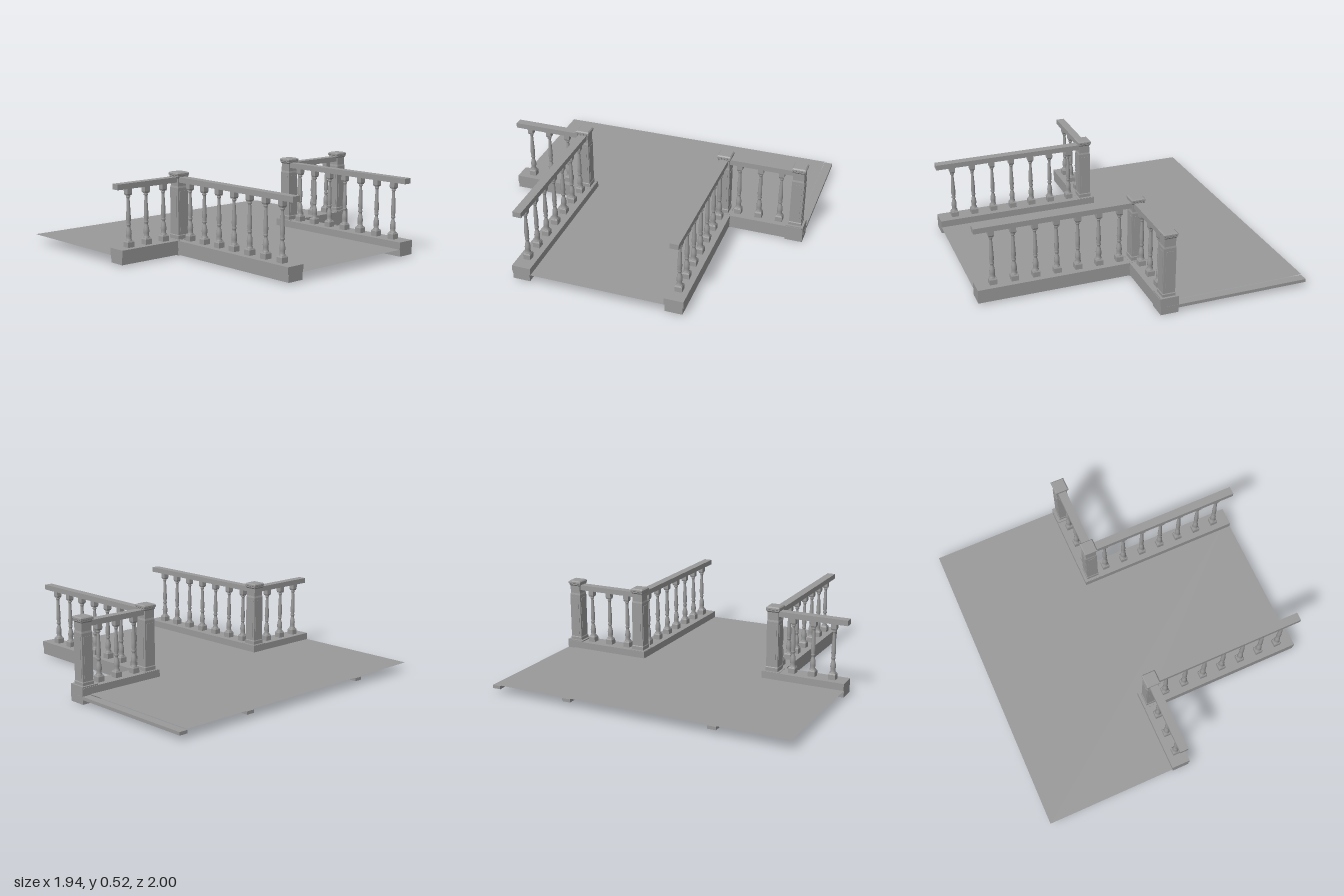
import * as THREE from 'three';

const stone = new THREE.MeshStandardMaterial({ color: 0x9a9a9a });
const flat = new THREE.MeshStandardMaterial({ color: 0x9a9a9a, flatShading: true });

function add(parent, name, geometry, material = stone) {
  const mesh = new THREE.Mesh(geometry, material);
  mesh.name = name;
  parent.add(mesh);
  return mesh;
}

// box given by its limits on each axis
function block(parent, name, [x0, x1], [y0, y1], [z0, z1]) {
  const mesh = add(parent, name, new THREE.BoxGeometry(x1 - x0, y1 - y0, z1 - z0));
  mesh.position.set((x0 + x1) / 2, (y0 + y1) / 2, (z0 + z1) / 2);
}

// square turned solid: profile of [half width, height]
function squareLathe(profile) {
  const pts = profile.map(([w, y]) => new THREE.Vector2(w * Math.SQRT2, y));
  return new THREE.LatheGeometry(pts, 4).rotateY(Math.PI / 4);
}

// bell foot, narrow neck, ring, then a long shaft tapering to the head
const BALUSTER = [
  [0.020, 0.14], [0.020, 0.146], [0.015, 0.152], [0.017, 0.17], [0.018, 0.185], [0.015, 0.205],
  [0.010, 0.222], [0.010, 0.23], [0.014, 0.235], [0.014, 0.242], [0.011, 0.247], [0.015, 0.27],
  [0.014, 0.295], [0.009, 0.395], [0.009, 0.402], [0.013, 0.406], [0.013, 0.412], [0.010, 0.416], [0.014, 0.425],
].map(([r, y]) => new THREE.Vector2(r, y));
const balusterGeometry = new THREE.LatheGeometry(BALUSTER, 12);

function baluster(parent, x, z) {
  const g = new THREE.Group();
  g.name = 'baluster';
  g.position.set(x, 0, z);
  add(g, 'balusterShaft', balusterGeometry);
  add(g, 'balusterFoot', squareLathe([[0, 0.098], [0.023, 0.098], [0.023, 0.132], [0.018, 0.142], [0, 0.142]]), flat);
  add(g, 'balusterHead', squareLathe([[0, 0.418], [0.014, 0.418], [0.018, 0.428], [0.018, 0.465], [0, 0.465]]), flat);
  parent.add(g);
}

function post(parent, x, z, bottom, top) {
  const g = new THREE.Group();
  g.name = 'post';
  g.position.set(x, 0, z);
  block(g, 'postFoot', [-0.057, 0.057], [bottom, top], [-0.057, 0.057]);
  // shaft with shoulders, neck and moulded cap
  add(g, 'postShaft', squareLathe([
    [0.042, 0.1], [0.042, 0.125], [0.039, 0.13], [0.039, 0.425], [0.036, 0.437], [0.036, 0.49],
  ]), flat);
  add(g, 'postCap', squareLathe([
    [0.036, 0.487], [0.042, 0.495], [0.042, 0.502], [0.045, 0.505], [0.045, 0.516], [0.038, 0.523], [0, 0.523],
  ]), flat);
  // raised panels on the four faces
  for (const [w, d] of [[0.026, 0.041], [0.041, 0.026]])
    block(g, 'postPanel', [-w, w], [0.15, 0.405], [-d, d]);
  parent.add(g);
}

// straight railing along x or z: kerb, handrail and balusters
function railing(parent, name, axis, centre, kerb, rail, stations) {
  const g = new THREE.Group();
  g.name = name;
  const bar = (part, run, y, half) => {
    const across = [centre - half, centre + half];
    if (axis === 'x') block(g, part, run, y, across);
    else block(g, part, across, y, run);
  };
  bar('kerbLower', kerb, [0.01, 0.055], 0.055);
  bar('kerbUpper', kerb, [0.055, 0.1], 0.06);
  bar('handrail', rail, [0.46, 0.494], 0.027);
  for (const s of stations) axis === 'x' ? baluster(g, s, centre) : baluster(g, centre, s);
  parent.add(g);
}

export function createModel() {
  const model = new THREE.Group();
  const px = -0.06, fz = 0.514, bz = -0.458, ledge = -0.945;

  // T-shaped floor made of an upper and a lower skin, open at the edges
  const outline = [[-0.97, ledge], [px, ledge], [px, bz], [0.97, bz], [0.97, fz], [px, fz], [px, 1], [-0.97, 1]];
  const plan = (s) => new THREE.ShapeGeometry(new THREE.Shape(outline.map(([x, z]) => new THREE.Vector2(x, s * z))));
  add(model, 'floorTop', plan(-1).rotateX(-Math.PI / 2)).position.y = 0.055;
  add(model, 'floorUnderside', plan(1).rotateX(Math.PI / 2)).position.y = 0.041;

  // joists below the floor, the rear one standing out as a ledge
  const deep = [0.03, 0.05];
  for (const z of [fz, bz]) block(model, 'joist', [-0.97, 0.97], deep, [z - 0.0275, z + 0.0275]);
  block(model, 'rearLedge', [-0.97, px], deep, [-1, ledge]);
  block(model, 'crossJoist', [px - 0.0275, px + 0.0275], deep, [-1, 1]);

  // long railings on both sides of the landing
  const long = Array.from({ length: 7 }, (_, i) => 0.049 + i * 0.1355);
  for (const [name, z] of [['frontLongRailing', fz], ['backLongRailing', bz]])
    railing(model, name, 'x', z, [-0.005, 0.97], [px, 0.97], long);

  // short return railings
  railing(model, 'frontShortRailing', 'z', px, [fz - 0.06, 1], [fz, 1], [0.64, 0.773, 0.906]);
  railing(model, 'backShortRailing', 'z', px, [-0.99, bz + 0.06], [-0.942, bz], [-0.557, -0.694, -0.83]);

  // corner posts and the end post
  post(model, px, fz, 0.005, 0.102);
  post(model, px, bz, 0.005, 0.102);
  post(model, px, -0.942, 0, 0.108);
  return model;
}
